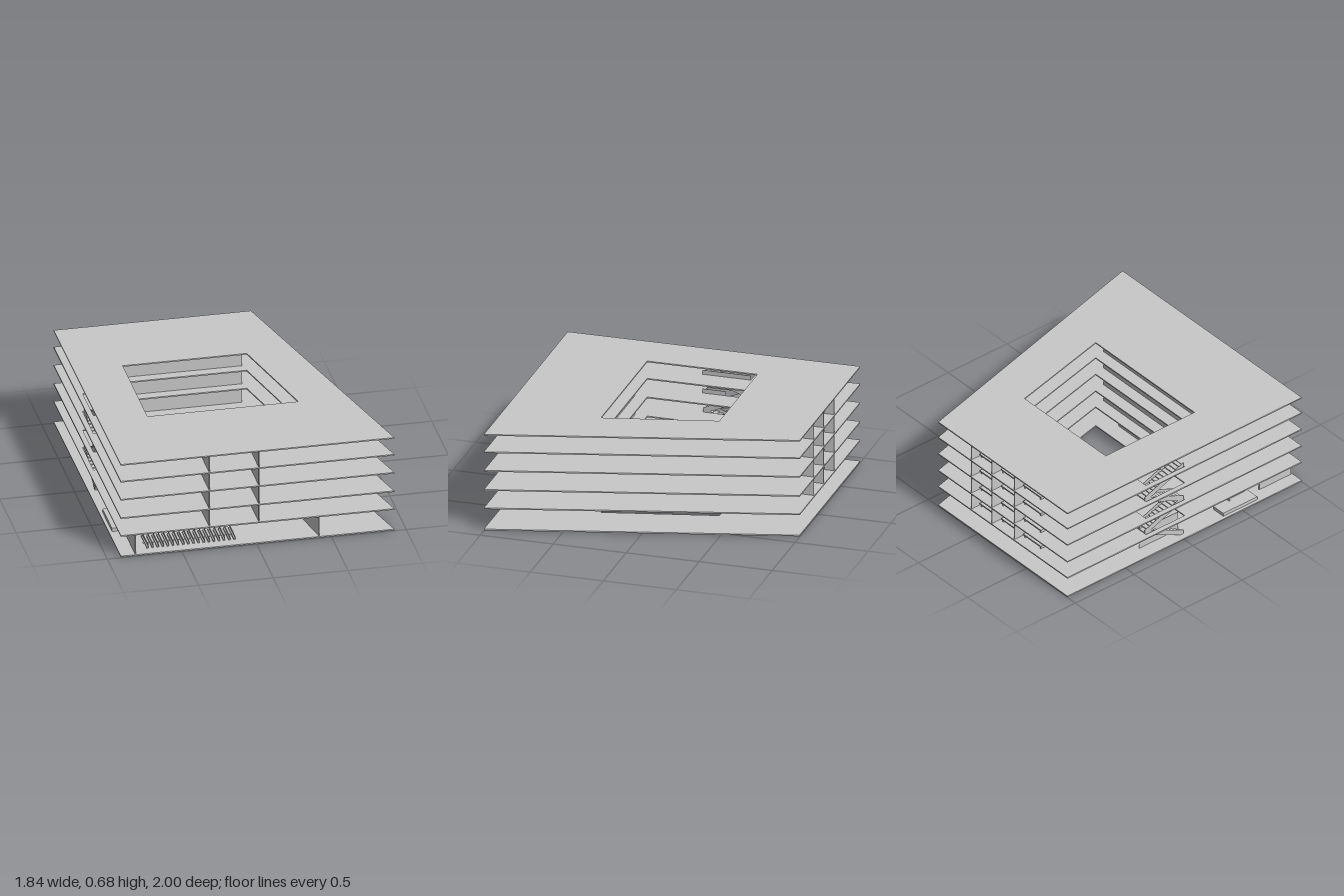
import * as THREE from 'three';

export function createModel() {
  const model = new THREE.Group();
  model.name = 'building';
  const concrete = new THREE.MeshStandardMaterial({ color: 0xc8c8c8, side: THREE.DoubleSide });
  concrete.name = 'light grey';

  const add = (name, geometry, x = 0, y = 0, z = 0) => {
    const mesh = new THREE.Mesh(geometry, concrete);
    mesh.name = name;
    mesh.position.set(x, y, z);
    model.add(mesh);
    return mesh;
  };
  // Box given by its extents on each axis
  const box = (name, x0, x1, y0, y1, z0, z1) =>
    add(name, new THREE.BoxGeometry(x1 - x0, y1 - y0, z1 - z0), (x0 + x1) / 2, (y0 + y1) / 2, (z0 + z1) / 2);
  const points = (list) => list.map(([x, y]) => new THREE.Vector2(x, y));

  // Floor slabs with the courtyard opening, and a stair opening on middle floors
  const T = 0.009;
  const tops = [0.01, 0.16, 0.29, 0.425, 0.557, 0.68];
  const outline = [[-0.92, -1], [0.4, -1], [0.92, 1], [-0.91, 1]];
  const court = [[-0.59, -0.4], [0.24, -0.4], [0.42, 0.355], [-0.59, 0.355]];
  const stairWell = [[-0.88, -0.3], [-0.765, -0.3], [-0.765, 0.03], [-0.88, 0.03]];
  tops.forEach((top, i) => {
    const shape = new THREE.Shape(points(outline));
    shape.holes.push(new THREE.Path(points(court)));
    if (i > 0 && i < 5) shape.holes.push(new THREE.Path(points(stairWell)));
    const g = new THREE.ExtrudeGeometry(shape, { depth: T, bevelEnabled: false });
    g.rotateX(Math.PI / 2);
    add(i === 5 ? 'roofSlab' : 'floorSlab', g, 0, top, 0);
  });

  // Upper storeys: courtyard walls, partitions and furniture
  const backWalls = [0.07, -0.14, -0.37];
  for (let i = 1; i < 5; i++) {
    const y0 = tops[i], y1 = tops[i + 1] - T;
    box('frontCourtWall', -0.59, 0.44, y0, y1, 0.438, 0.444);
    box('backCourtWall', -0.59, 0.225, y0, y1, -0.476, -0.47);
    for (const x of [-0.315, 0.017]) box('frontPartition', x - 0.003, x + 0.003, y0, y1, 0.44, 0.99);
    for (const x of backWalls) box('backPartition', x - 0.003, x + 0.003, y0, y1, -0.995, -0.47);
    for (let k = 0; k < 12; k++) {
      const x = -0.512 + k * 0.0835;
      box('seat', x - 0.025, x + 0.025, y0, y0 + 0.022, 0.583, 0.598);
    }
    for (const x of [-0.035, -0.255, -0.48]) {
      for (const z of [-0.9, -0.72]) {
        box('deskTop', x - 0.09, x + 0.09, y0 + 0.018, y0 + 0.026, z - 0.035, z + 0.035);
        for (const s of [-1, 1]) box('deskLeg', x + s * 0.08 - 0.004, x + s * 0.08 + 0.004, y0, y0 + 0.018, z - 0.03, z + 0.03);
      }
    }
  }

  // Small ceiling lights following the slab outline
  for (let i = 1; i < 6; i++) {
    outline.forEach(([ax, az], e) => {
      const [bx, bz] = outline[(e + 1) % 4];
      for (let k = 0; k < 8; k++) {
        const t = (k + 0.5) / 8;
        const x = (ax + (bx - ax) * t) * 0.86, z = (az + (bz - az) * t) * 0.86;
        box('ceilingLight', x - 0.006, x + 0.006, tops[i] - T - 0.003, tops[i] - T, z - 0.006, z + 0.006);
      }
    });
  }

  // Ground floor wall with two doorways
  const G0 = tops[0], G1 = tops[1] - T;
  const wall = new THREE.Shape(points([
    [-0.81, G0], [-0.59, G0], [-0.59, 0.08], [-0.52, 0.08], [-0.52, G0], [0.02, G0],
    [0.02, 0.078], [0.09, 0.078], [0.09, G0], [0.32, G0], [0.32, G1], [-0.81, G1],
  ]));
  add('groundWall', new THREE.ExtrudeGeometry(wall, { depth: 0.006, bevelEnabled: false }), 0, 0, 0.466);
  box('leftEndWall', -0.813, -0.807, G0, G1, 0.72, 0.99);

  // Slanted wall beside the entrance
  const slant = add('slantedWall', new THREE.BoxGeometry(0.006, G1 - G0, 0.53), 0.37, (G0 + G1) / 2, 0.73);
  slant.rotation.y = Math.atan2(0.1, 0.52);

  // Curved entrance screen
  const curve = new THREE.CylinderGeometry(0.135, 0.135, G1 - G0, 20, 1, true, Math.PI - 0.68, 1.36);
  add('curvedScreen', curve, -0.28, (G0 + G1) / 2, 0.535);

  // Row of cycle stands, and low platform
  for (let k = 0; k < 18; k++) {
    const x = -0.715 + k * 0.0342;
    box('cycleStand', x - 0.006, x + 0.006, 0.012, 0.022, 0.76, 0.93);
    box('cycleStandPost', x + 0.003, x + 0.006, 0.022, 0.036, 0.76, 0.93);
  }
  box('cycleRail', -0.73, -0.12, 0.01, 0.014, 0.84, 0.85);
  box('lowPlatform', -0.89, -0.79, 0.01, 0.034, 0.35, 0.64);

  // Stair flight: a sloped slab, treads and a side guard
  const flight = (y0, y1, z0, z1, xa, xb) => {
    const side = (h0, h1) => new THREE.Shape(points([[-z0, y0 + h0], [-z1, y1 + h0], [-z1, y1 + h1], [-z0, y0 + h1]]));
    const strip = (name, shape, x, depth) => {
      const g = new THREE.ExtrudeGeometry(shape, { depth, bevelEnabled: false });
      g.rotateY(Math.PI / 2);
      add(name, g, x, 0, 0);
    };
    strip('stairSlope', side(-0.012, -0.004), xa, xb - xa);
    strip('stairGuard', side(-0.012, 0.028), xa, 0.003);
    strip('stairGuard', side(-0.012, 0.028), xb - 0.003, 0.003);
    const n = 12, dz = (z1 - z0) / n;
    for (let k = 0; k < n; k++) {
      const z = z0 + dz * (k + 0.5), y = y0 + ((y1 - y0) * (k + 0.5)) / n;
      box('stairTread', xa, xb, y - 0.005, y + 0.002, z - Math.abs(dz) / 2, z + Math.abs(dz) / 2);
    }
  };
  flight(tops[0], tops[1], 0.03, -0.3, -0.87, -0.81);
  box('groundStairWall', -0.812, -0.808, G0, G1, -0.3, 0.03);
  for (let i = 1; i < 4; i++) {
    const up = i % 2 === 1;
    flight(tops[i], tops[i + 1], up ? -0.3 : 0.03, up ? 0.03 : -0.3, -0.87, -0.77);
  }

  // Guards around the stair openings
  [[1, -0.3, 0.03], [2, -0.3, -0.13], [3, -0.13, 0.03], [4, -0.3, 0.03]].forEach(([i, z0, z1]) => {
    box('landingGuard', -0.767, -0.764, tops[i], tops[i] + 0.03, z0, z1);
  });
  return model;
}
